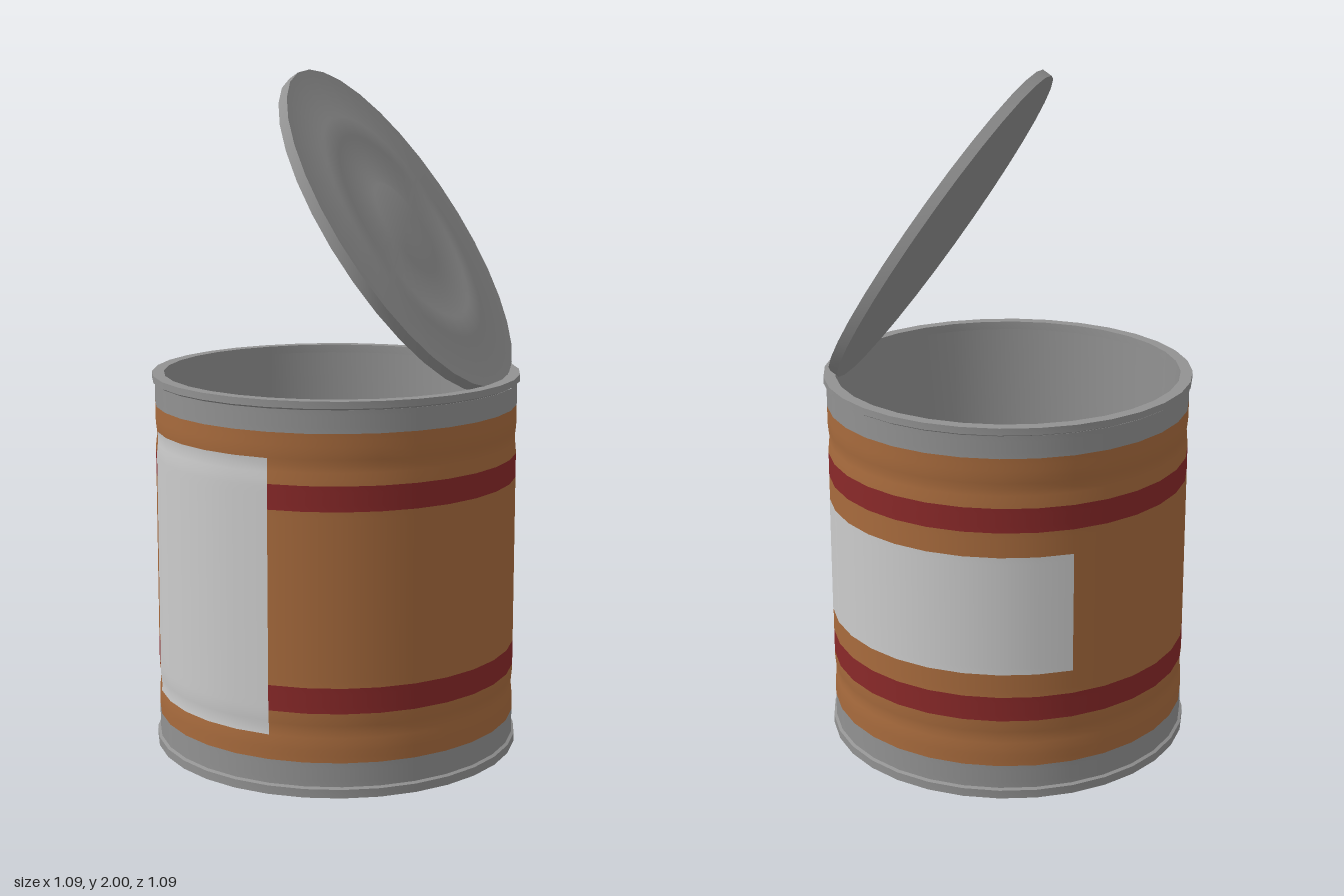
import * as THREE from 'three';
import { toCreasedNormals } from 'three/addons/utils/BufferGeometryUtils.js';

const SIDES = 32;
const STEP = (Math.PI * 2) / SIDES;
const material = (color) => new THREE.MeshStandardMaterial({ color });

// Lathe with smooth sides and sharp profile corners
function lathe(name, profile, mat, firstSide = 0, sides = SIDES) {
  const points = profile.map(([r, y]) => new THREE.Vector2(r, y));
  const geometry = new THREE.LatheGeometry(points, sides, firstSide * STEP, sides * STEP);
  const mesh = new THREE.Mesh(toCreasedNormals(geometry, 0.5), mat);
  mesh.name = name;
  return mesh;
}

// Wall radius, with a shallow rolled groove near the top and the bottom
const MIDDLE = 0.565;
function wallRadius(y) {
  const d = (Math.abs(y - MIDDLE) - 0.375) / 0.025;
  return 0.537 - 0.004 * Math.exp(-d * d);
}

// Strip of the wall between two heights
function wallProfile(y0, y1, offset = 0) {
  const n = Math.ceil((y1 - y0) / 0.02);
  return Array.from({ length: n + 1 }, (_, i) => {
    const y = y0 + ((y1 - y0) * i) / n;
    return [wallRadius(y) + offset, y];
  });
}

export function createModel() {
  const model = new THREE.Group();
  model.name = 'openTinCan';
  const metal = material(0x929292);
  const paper = material(0xa86b3d);
  const red = material(0x8a2929);
  const white = material(0xffffff);

  // Metal base, rims and inside
  model.add(lathe('baseRim', [
    [0, 0], [0.545, 0], [0.545, 0.025], [0.535, 0.03],
  ], metal));
  model.add(lathe('topRim', [
    [0.535, 1.1], [0.545, 1.105], [0.545, 1.125], [0.51, 1.125], [0.51, 1.1],
  ], metal));
  model.add(lathe('inside', [[0.51, 1.1], [0.51, 0.03], [0, 0.03]], metal));

  // Outer wall, stacked in coloured bands
  const bands = [
    ['lowerMetalBand', 0.03, 0.1, metal],
    ['lowerPaperBand', 0.1, 0.243, paper],
    ['lowerRedStripe', 0.243, 0.317, red],
    ['middlePaperBand', 0.317, 0.818, paper],
    ['upperRedStripe', 0.818, 0.89, red],
    ['upperPaperBand', 0.89, 1.035, paper],
    ['upperMetalBand', 1.035, 1.1, metal],
  ];
  for (const [name, y0, y1, mat] of bands) model.add(lathe(name, wallProfile(y0, y1), mat));

  // Blank white label panels
  model.add(lathe('frontPanel', wallProfile(0.172, 0.962, 0.001), white, 27, 5));
  model.add(lathe('backPanel', wallProfile(0.388, 0.745, 0.001), white, 10, 9));

  // Opened lid with a softly raised ring and centre on its outer face
  const lid = lathe('lid', [
    [0, -0.03], [0.534, -0.03], [0.534, 0],
    [0.384, 0], [0.372, 0.003], [0.31, 0.003], [0.298, 0],
    [0.156, 0], [0.144, 0.003], [0, 0.003],
  ], metal);
  lid.position.set(0.211, 1.556, 0);
  lid.rotation.z = -0.988;
  model.add(lid);

  return model;
}
